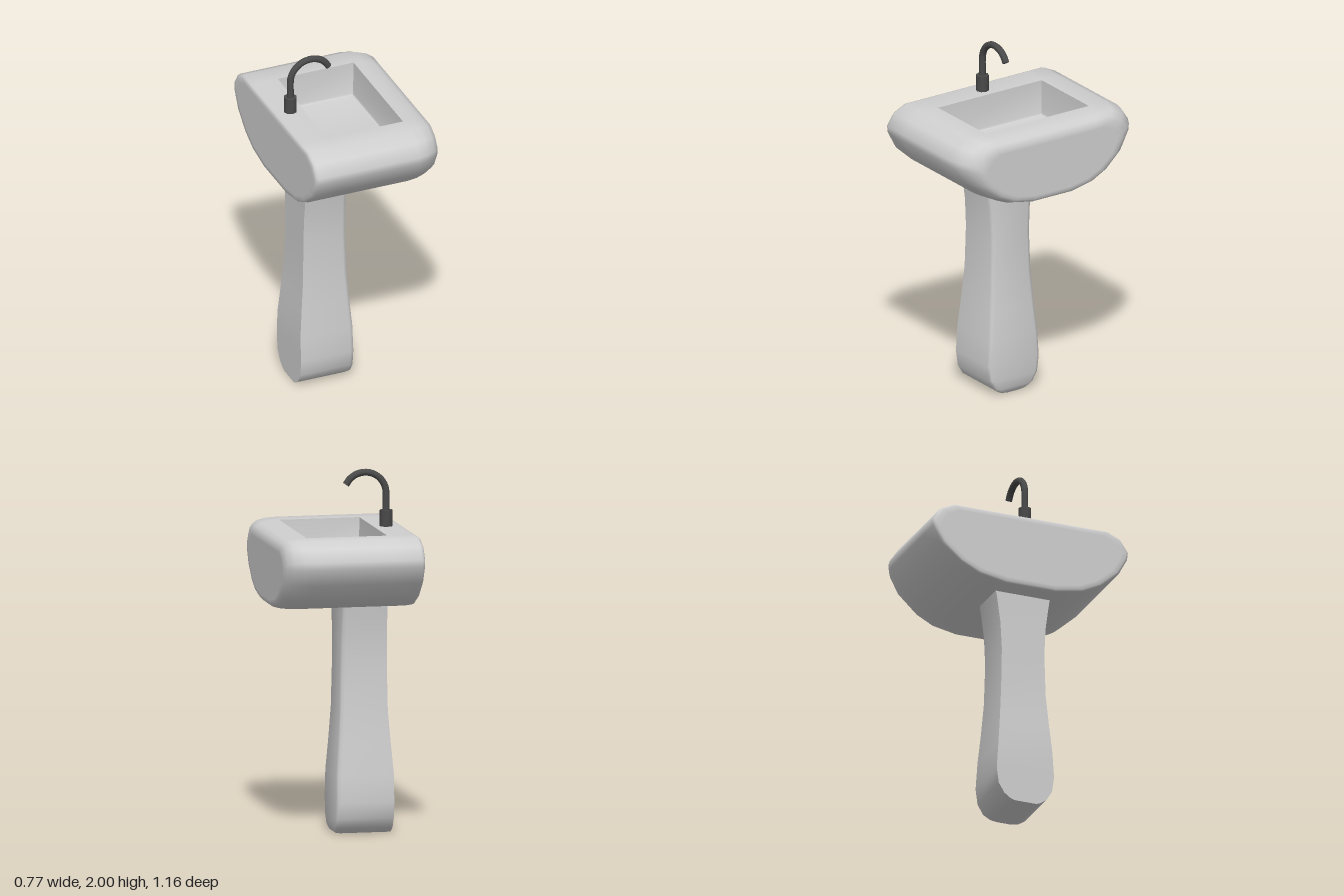
import * as THREE from 'three';
import { toCreasedNormals } from 'three/addons/utils/BufferGeometryUtils.js';

// Skin a list of rings (arrays of [x, y, z]); optional end caps and skipped quads.
function loft(rings, { start = true, end = true, crease = 0.9, skip = () => false } = {}) {
  const pos = [];
  const tri = (a, b, c) => pos.push(...a, ...b, ...c);
  const n = rings[0].length;
  for (let i = 0; i < rings.length - 1; i++) {
    for (let j = 0; j < n; j++) {
      if (skip(i, j)) continue;
      const k = (j + 1) % n;
      const [a, b, c, d] = [rings[i][j], rings[i][k], rings[i + 1][k], rings[i + 1][j]];
      tri(a, b, c);
      tri(a, c, d);
    }
  }
  const cap = (ring, flip) => {
    const mid = [0, 1, 2].map((q) => ring.reduce((s, p) => s + p[q], 0) / n);
    ring.forEach((p, j) => {
      const next = ring[(j + 1) % n];
      if (flip) tri(mid, next, p);
      else tri(mid, p, next);
    });
  };
  if (start) cap(rings[0], true);
  if (end) cap(rings[rings.length - 1], false);
  const geo = new THREE.BufferGeometry();
  geo.setAttribute('position', new THREE.Float32BufferAttribute(pos, 3));
  return toCreasedNormals(geo, crease);
}

export function createModel() {
  const ceramic = new THREE.MeshStandardMaterial({ color: 0xd0d0d0 });
  ceramic.name = 'ceramic';
  const darkMetal = new THREE.MeshStandardMaterial({ color: 0x4a4a4a });
  darkMetal.name = 'darkMetal';

  const model = new THREE.Group();
  model.name = 'pedestalSink';
  const add = (name, geo, mat, parent = model) => {
    const mesh = new THREE.Mesh(geo, mat);
    mesh.name = name;
    parent.add(mesh);
    return mesh;
  };

  // Basin: bowl-shaped profile swept along x, rounded off at the +x end
  const yTop = 1.68, yBottom = 1.26, halfZ = 0.58;
  const hole = { x0: -0.22, x1: 0.23, z: 0.345 };
  const half = [
    [0.15, yBottom], [0.31, 1.29], [0.42, 1.345], [0.525, 1.44], [0.575, 1.535],
    [halfZ, 1.575], [0.535, 1.643], [0.46, yTop], [hole.z, yTop],
  ];
  const profile = [...half, ...half.slice().reverse().map(([u, y]) => [-u, y])];
  // each station: x, half width, bottom, top
  const stations = [
    [-0.385, 0.53, 1.295, 1.645], [-0.385, 0.562, 1.272, 1.668],
    [-0.379, 0.574, 1.264, 1.676], [-0.365, halfZ, yBottom, yTop],
    [hole.x0, halfZ, yBottom, yTop], [hole.x1, halfZ, yBottom, yTop],
    [0.285, 0.566, 1.261, 1.678], [0.338, 0.537, 1.267, 1.67],
    [0.37, 0.5, 1.275, 1.655], [0.385, 0.46, 1.29, 1.625], [0.385, 0.43, 1.31, 1.605],
  ];
  const basinRings = stations.map(([x, w, lo, hi]) => profile.map(([u, y]) => [
    x, lo + (hi - lo) * (y - yBottom) / (yTop - yBottom), -u * w / halfZ,
  ]));
  add('basin', loft(basinRings, {
    skip: (i, j) => stations[i][0] === hole.x0 && j === half.length - 1,
  }), ceramic);

  // Rectangular bowl sunk into the basin, with a small cove at the floor
  const bowlRings = [[0, yTop], [0.004, 1.495], [0.008, 1.485], [0.018, 1.48]].map(([d, y]) => [
    [hole.x0 + d, y, hole.z - d], [hole.x1 - d, y, hole.z - d],
    [hole.x1 - d, y, -hole.z + d], [hole.x0 + d, y, -hole.z + d],
  ]);
  add('bowl', loft(bowlRings, { start: false, crease: 0.5 }), ceramic);

  // Pedestal: waisted column, softened along its +x edges
  // each level: y, half width, back x, front x
  const levels = [
    [0, 0.065, -0.3, 0], [0.01, 0.09, -0.3, 0.013], [0.035, 0.125, -0.3, 0.02],
    [0.09, 0.158, -0.3, 0.02], [0.18, 0.17, -0.3, 0.02], [0.33, 0.16, -0.3, 0.018],
    [0.5, 0.145, -0.286, 0.005], [0.68, 0.132, -0.272, -0.006],
    [0.92, 0.126, -0.268, -0.011], [1.08, 0.134, -0.266, -0.013],
    [1.2, 0.15, -0.265, -0.015], [1.3, 0.165, -0.265, -0.015],
  ];
  const columnRings = levels.map(([y, w, x0, x1]) => {
    const side = [[x0, w], [x1 - 0.025, w], [x1 - 0.007, w - 0.007], [x1, w - 0.025]];
    return [
      ...side.map(([x, z]) => [x, y, z]),
      ...side.reverse().map(([x, z]) => [x, y, -z]),
    ];
  });
  add('pedestal', loft(columnRings), ceramic);

  // Faucet: octagonal base and a gooseneck spout
  const faucet = new THREE.Group();
  faucet.name = 'faucet';
  model.add(faucet);
  const fx = -0.292;
  const base = add('faucetBase', toCreasedNormals(
    new THREE.CylinderGeometry(0.036, 0.036, 0.1, 8), 0.9), darkMetal, faucet);
  base.position.set(fx, 1.72, 0);
  const path = [[fx, 1.76], [fx, 1.81], [fx, 1.86]];
  for (let i = 1; i <= 8; i++) {
    const a = Math.PI - i * 0.335;
    path.push([fx + 0.119 + 0.119 * Math.cos(a), 1.862 + 0.119 * Math.sin(a)]);
  }
  const curve = new THREE.CatmullRomCurve3(path.map(([x, y]) => new THREE.Vector3(x, y, 0)));
  add('spout', new THREE.TubeGeometry(curve, 24, 0.019, 10), darkMetal, faucet);

  // Disc closing the spout's outlet
  const outlet = add('spoutEnd', new THREE.CircleGeometry(0.019, 10), darkMetal, faucet);
  const tip = curve.getPoint(1);
  outlet.position.copy(tip);
  outlet.lookAt(tip.clone().add(curve.getTangent(1)));

  return model;
}
